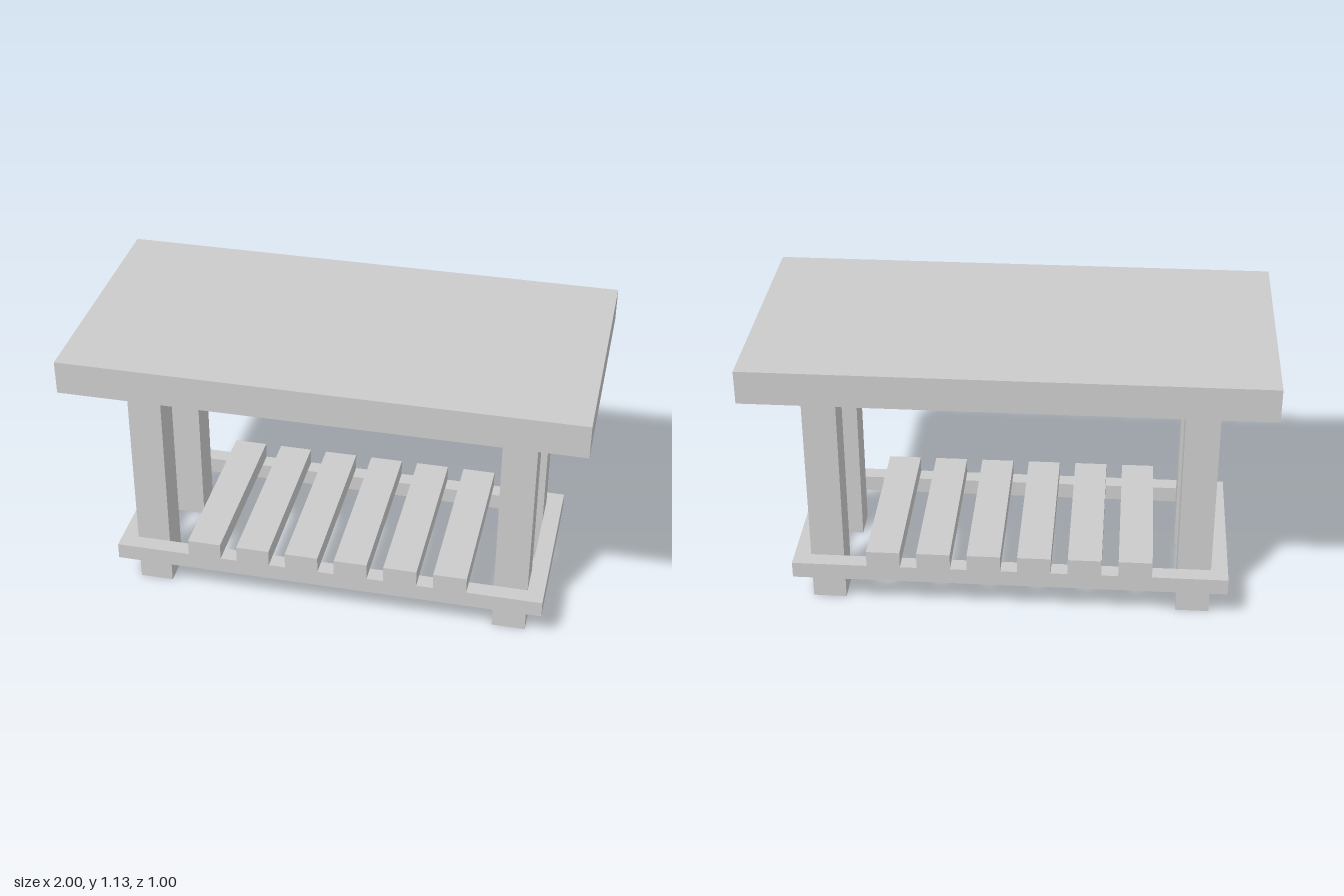
import * as THREE from 'three';

export function createModel() {
  const model = new THREE.Group();
  const material = new THREE.MeshStandardMaterial({ color: 0xcccccc, flatShading: true });
  const U = 1 / 15; // plank thickness, every size is a multiple of it

  // Box given by its size, centre x/z and bottom height, all in plank units
  function plank(name, w, h, d, x, bottom, z) {
    const mesh = new THREE.Mesh(new THREE.BoxGeometry(w * U, h * U, d * U), material);
    mesh.position.set(x * U, (bottom + h / 2) * U, z * U);
    mesh.name = name;
    model.add(mesh);
  }

  // Table top and the smaller board under it
  plank('tableTop', 30, 2, 15, 0, 15, 0);
  plank('underBoard', 26, 1, 11, 0, 14, 0);

  for (const side of [-1, 1]) {
    // Legs
    for (const end of [-1, 1]) plank('leg', 2, 14, 2, side * 11, 0, end * 3.5);

    // Lower frame rails wrapped around the outside of the legs
    plank('longRail', 26, 1, 1, 0, 2, side * 5);
    plank('endRail', 1, 1, 9, side * 12.5, 2, 0);
  }

  // Shelf slats resting on the long rails
  for (let i = 0; i < 6; i++) plank('shelfSlat', 2, 1, 11, (i - 2.5) * 3, 3, 0);

  return model;
}
